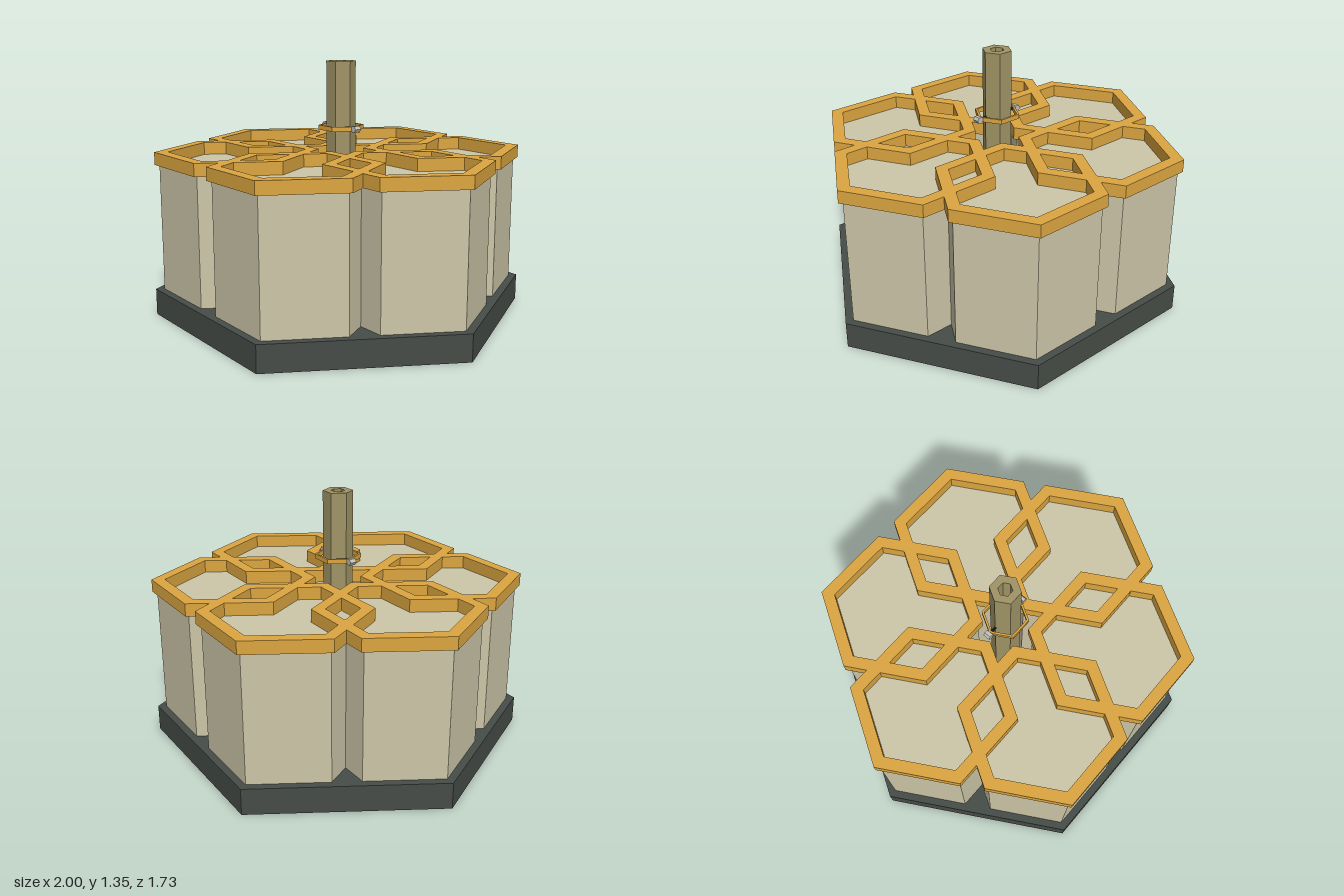
import * as THREE from 'three';

const mat = (name, color) => {
  const m = new THREE.MeshStandardMaterial({ color, flatShading: true });
  m.name = name;
  return m;
};

// Hexagon with corners on the x axis
function hexPoints(r) {
  return Array.from({ length: 6 }, (_, i) =>
    new THREE.Vector2(r * Math.cos(i * Math.PI / 3), r * Math.sin(i * Math.PI / 3)));
}

// Upright hexagonal prism from y0 to y1, hollow if inner > 0
function hexPrism(r, y0, y1, inner = 0) {
  const shape = new THREE.Shape(hexPoints(r));
  if (inner > 0) shape.holes.push(new THREE.Path(hexPoints(inner).reverse()));
  const g = new THREE.ExtrudeGeometry(shape, { depth: y1 - y0, bevelEnabled: false });
  return g.rotateX(-Math.PI / 2).translate(0, y0, 0);
}

export function createModel() {
  const model = new THREE.Group();
  model.name = 'hexCellCluster';
  const charcoal = mat('charcoal', 0x464c47);
  const beige = mat('beige', 0xcdc6a8);
  const gold = mat('gold', 0xdca640);
  const bronze = mat('bronze', 0xa09466);
  const grey = mat('lightGrey', 0xc4c4bc);
  const black = mat('black', 0x1c1e1c);

  const add = (name, geometry, material, parent = model) => {
    const mesh = new THREE.Mesh(geometry, material);
    mesh.name = name;
    parent.add(mesh);
    return mesh;
  };

  add('base', hexPrism(1, 0, 0.14), charcoal);

  // Six overlapping cells, each with a raised rim
  const cellGeo = hexPrism(0.405, 0.14, 0.815);
  const rimGeo = hexPrism(0.43, 0.815, 0.882, 0.36);
  for (let i = 0; i < 6; i++) {
    const a = i * Math.PI / 3;
    const cell = new THREE.Group();
    cell.name = 'cell' + (i + 1);
    cell.position.set(0.55 * Math.cos(a), 0, 0.55 * Math.sin(a));
    add('cellBody', cellGeo, beige, cell);
    add('cellRim', rimGeo, gold, cell);
    model.add(cell);
  }

  // Hollow central post with a collar pinned through it
  add('post', hexPrism(0.078, 0.14, 1.347, 0.036), bronze);
  add('collar', hexPrism(0.121, 0.986, 1.01, 0.108), gold);
  add('pin', new THREE.CylinderGeometry(0.007, 0.007, 0.25, 6).rotateZ(Math.PI / 2).translate(0, 0.998, 0), black);
  for (const s of [-1, 1]) {
    const knob = new THREE.CylinderGeometry(0.019, 0.019, 0.036, 6).rotateY(Math.PI / 6).rotateX(Math.PI / 2);
    add(s > 0 ? 'leftKnob' : 'rightKnob', knob.translate(s * 0.127, 0.998, 0), grey);
  }
  return model;
}
